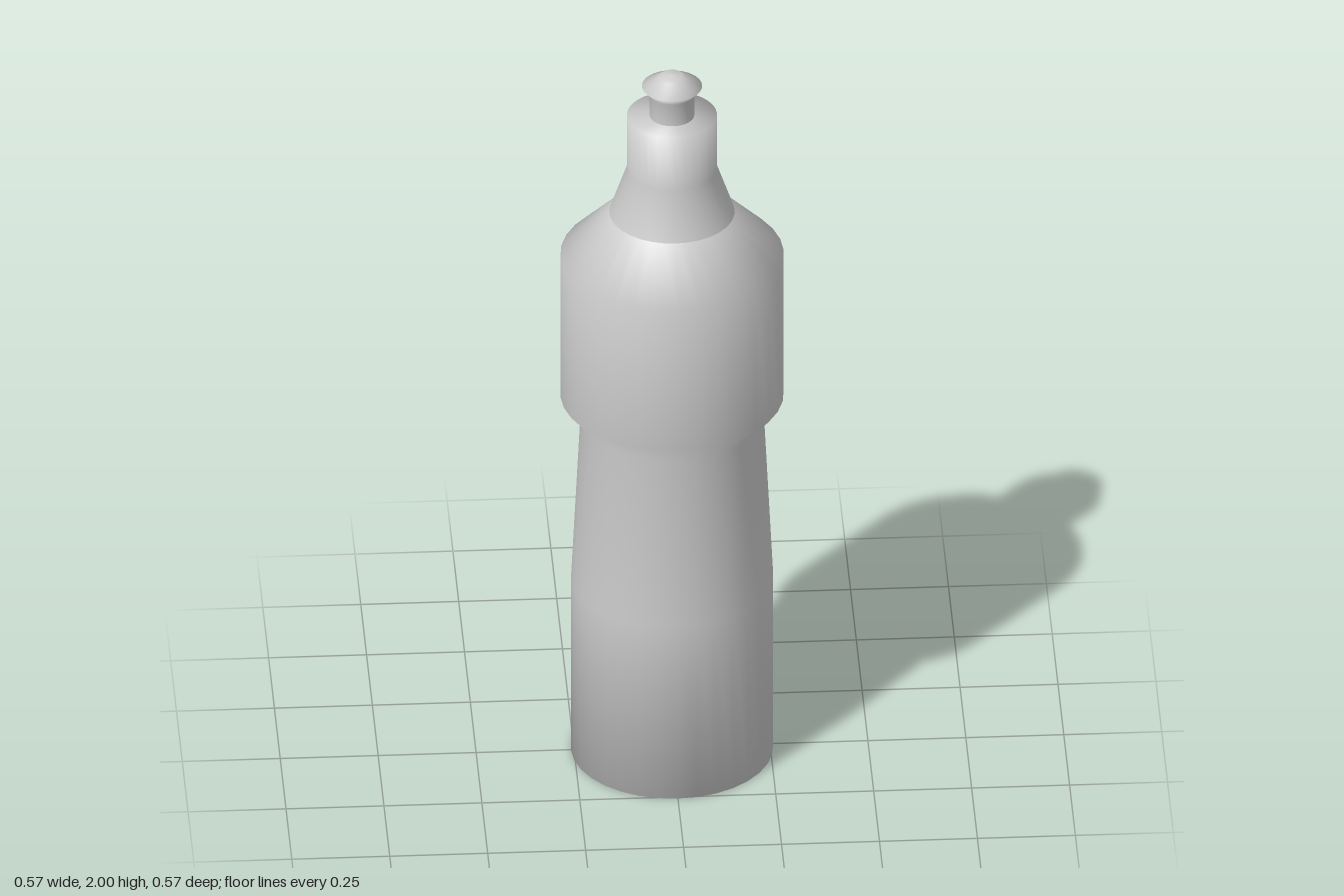
import * as THREE from 'three';

const SIDES = 32;

// Revolves a profile of [radius, height] pairs, listed from bottom to top
function turned(name, profile, material) {
  const points = profile.map(([r, y]) => new THREE.Vector2(r, y));
  const mesh = new THREE.Mesh(new THREE.LatheGeometry(points, SIDES), material);
  mesh.name = name;
  return mesh;
}

export function createModel() {
  const model = new THREE.Group();
  model.name = 'squeezeBottle';
  const material = new THREE.MeshStandardMaterial({ color: 0xcccccc, side: THREE.DoubleSide });

  // Body: flat base, tapering grip, wide upper barrel and sloped shoulder
  model.add(turned('body', [
    [0, 0], [0.258, 0], [0.258, 0.51], [0.234, 0.99],
    [0.285, 1.05], [0.285, 1.465], [0.16, 1.59],
  ], material));

  // Cap: flared skirt, straight collar and flat top
  model.add(turned('cap', [
    [0.16, 1.59], [0.115, 1.72], [0.115, 1.877], [0, 1.877],
  ], material));

  // Nozzle: stem with a flared pull-up tip
  model.add(turned('nozzle', [
    [0.057, 1.877], [0.057, 1.94], [0.077, 1.963], [0.035, 1.988], [0.026, 1.996], [0, 2],
  ], material));

  return model;
}
